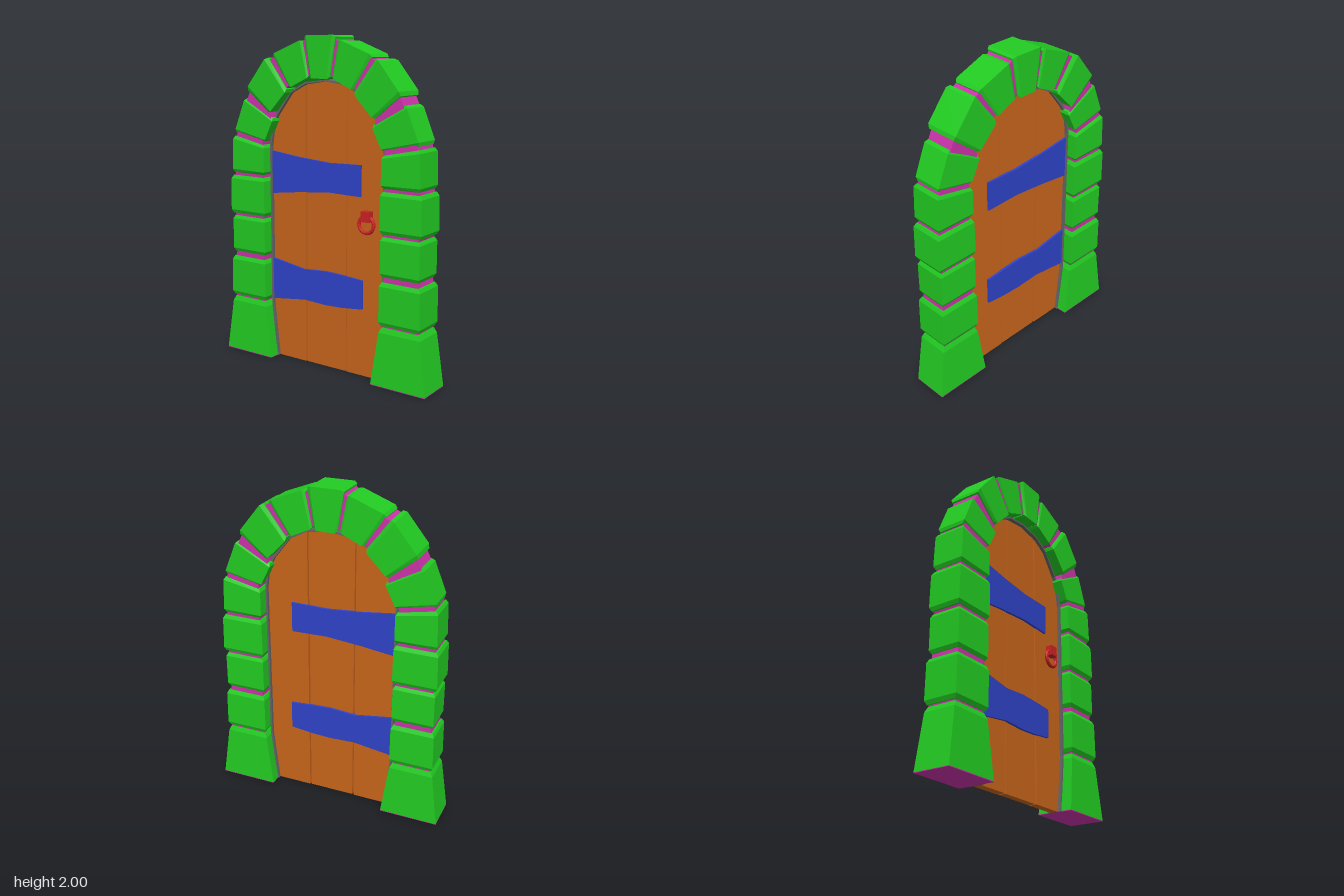
import * as THREE from 'three';
import { ConvexGeometry } from 'three/addons/geometries/ConvexGeometry.js';

const mat = (color) => new THREE.MeshStandardMaterial({ color, flatShading: true, side: THREE.DoubleSide });
const V = (p) => new THREE.Vector2(p[0], p[1]);

export function createModel() {
  const group = new THREE.Group();
  const stoneMat = mat(0x22cc22), mortarMat = mat(0xcc33aa), woodMat = mat(0xc8651b);
  const strapMat = mat(0x2f43c8), ringMat = mat(0xcc2222), frameMat = mat(0x666666);

  const add = (name, geometry, material, parent = group) => {
    const mesh = new THREE.Mesh(geometry, material);
    mesh.name = name;
    parent.add(mesh);
    return mesh;
  };

  // Flat outline extruded evenly to both sides of z = 0
  const slab = (points, halfDepth) => {
    const g = new THREE.ExtrudeGeometry(new THREE.Shape(points.map(V)), { depth: halfDepth * 2, bevelEnabled: false });
    return g.translate(0, 0, -halfDepth);
  };

  // Block through cross-sections, each [inner, outer, half depth]
  const block = (sections) => new ConvexGeometry(sections.flatMap(([p, q, h]) =>
    [p, q].flatMap((v) => [new THREE.Vector3(v.x, v.y, h), new THREE.Vector3(v.x, v.y, -h)])));

  // Joint end drawn in from both sides
  const inset = (p, q, d) => {
    const dir = q.clone().sub(p).setLength(d);
    return [p.clone().add(dir), q.clone().sub(dir)];
  };

  // Stone with chamfered joint ends
  const stone = ([a, b, c, d], lowDepth, highDepth, flatBottom) => {
    const t = 0.09, cut = 0.011;
    const sections = flatBottom ? [[a, b, lowDepth]] : [
      [...inset(a, b, cut), lowDepth - cut],
      [a.clone().lerp(d, t), b.clone().lerp(c, t), lowDepth]];
    sections.push([d.clone().lerp(a, t), c.clone().lerp(b, t), highDepth], [...inset(d, c, cut), highDepth - cut]);
    return block(sections);
  };

  // Inner low, outer low, outer high, inner high corners, then half depth low and high
  const stones = [
    [[0.37, 0.004], [0.73, 0.004], [0.683, 0.355], [0.42, 0.355], 0.112, 0.1],
    [[0.416, 0.365], [0.687, 0.365], [0.683, 0.622], [0.418, 0.622], 0.105, 0.105],
    [[0.42, 0.652], [0.675, 0.652], [0.675, 0.885], [0.42, 0.885], 0.1, 0.1],
    [[0.416, 0.9], [0.685, 0.9], [0.68, 1.142], [0.418, 1.142], 0.104, 0.104],
    [[0.42, 1.16], [0.672, 1.16], [0.663, 1.392], [0.42, 1.342], 0.1, 0.1],
    [[0.42, 1.365], [0.657, 1.41], [0.567, 1.63], [0.35, 1.505], 0.093, 0.093],
    [[0.37, 1.54], [0.545, 1.68], [0.385, 1.878], [0.235, 1.68], 0.107, 0.107],
    [[0.225, 1.695], [0.355, 1.888], [0.122, 1.978], [0.08, 1.762], 0.096, 0.096],
  ];

  for (const side of [1, -1]) {
    const wall = new THREE.Group();
    wall.name = side > 0 ? 'leftArchSide' : 'rightArchSide';
    group.add(wall);
    const rows = stones.map((s) => s.slice(0, 4).map(([x, y]) => new THREE.Vector2(x * side, y)));
    rows.forEach((corners, i) => {
      add('archStone', stone(corners, stones[i][4], stones[i][5], i === 0), stoneMat, wall);
      // Mortar reaches a little into the stone on each side
      const next = rows[i + 1] || [V([0.068 * side, 1.755]), V([0.11 * side, 2])];
      const low = inset(corners[3].clone().lerp(corners[0], 0.05), corners[2].clone().lerp(corners[1], 0.05), 0.018);
      const nextFar = rows[i + 1] ? [next[3], next[2]] : [V([0, 1.755]), V([0, 2])];
      const high = inset(next[0].clone().lerp(nextFar[0], 0.05), next[1].clone().lerp(nextFar[1], 0.05), 0.018);
      add('mortar', block([[...low, 0.088], [...high, 0.088]]), mortarMat, wall);
    });
    // Underside of the base stone
    add('baseUnderside', new THREE.BoxGeometry(0.36, 0.004, 0.224), mortarMat, wall).position.set(0.55 * side, 0.002, 0);
  }

  const key = [[0.068, 1.755], [0.11, 2], [-0.11, 2], [-0.068, 1.755]].map(V);
  add('keystone', stone(key, 0.105, 0.105, false), stoneMat);

  // Door outline, from the bottom of one edge over the arch to the other
  const half = [[0.363, 0], [0.4, 0.34], [0.402, 1.34], [0.388, 1.44], [0.35, 1.53], [0.245, 1.665], [0.14, 1.72]];
  const mirror = (points) => points.map(([x, y]) => [-x, y]).reverse();
  const outline = [...half, [0, 1.738], ...mirror(half)];

  // Thin frame around the door, open at the floor
  const outer = outline.map(([x, y]) => [x * 1.028, y * 1.006]);
  add('doorFrame', slab([...outer, ...outline.slice().reverse()], 0.045), frameMat);

  // Three planks with narrow gaps
  add('leftPlank', slab([[0.146, 0], ...half.slice(0, 6), [0.146, 1.716]], 0.025), woodMat);
  add('middlePlank', slab([[-0.147, 0], [0.138, 0], [0.138, 1.72], [0, 1.738], [-0.147, 1.716]], 0.022), woodMat);
  add('rightPlank', slab([[-0.156, 0], [-0.156, 1.711], ...mirror(half.slice(0, 6))], 0.025), woodMat);

  // Hinge straps, showing on both faces: [x, low, high]
  const straps = {
    upperStrap: [[-0.4, 1.045, 1.308], [-0.2, 1.07, 1.283], [0.02, 1.09, 1.265], [0.245, 1.085, 1.27]],
    lowerStrap: [[-0.4, 0.37, 0.632], [-0.16, 0.402, 0.594], [0, 0.395, 0.605], [0.12, 0.4, 0.6], [0.26, 0.415, 0.59]],
  };
  for (const [name, rows] of Object.entries(straps)) {
    const low = rows.map(([x, y]) => [x, y]);
    const high = rows.map(([x, , y]) => [x, y]).reverse();
    add(name, slab([...low, ...high], 0.038), strapMat);
  }

  // Ring handle on the front
  const handle = new THREE.Group();
  handle.name = 'ringHandle';
  handle.position.set(0.292, 0.93, 0.045);
  group.add(handle);
  add('ring', new THREE.TorusGeometry(0.05, 0.011, 8, 20), ringMat, handle);
  add('ringMount', new THREE.BoxGeometry(0.058, 0.062, 0.042), ringMat, handle).position.set(0.003, 0.048, 0);

  return group;
}
